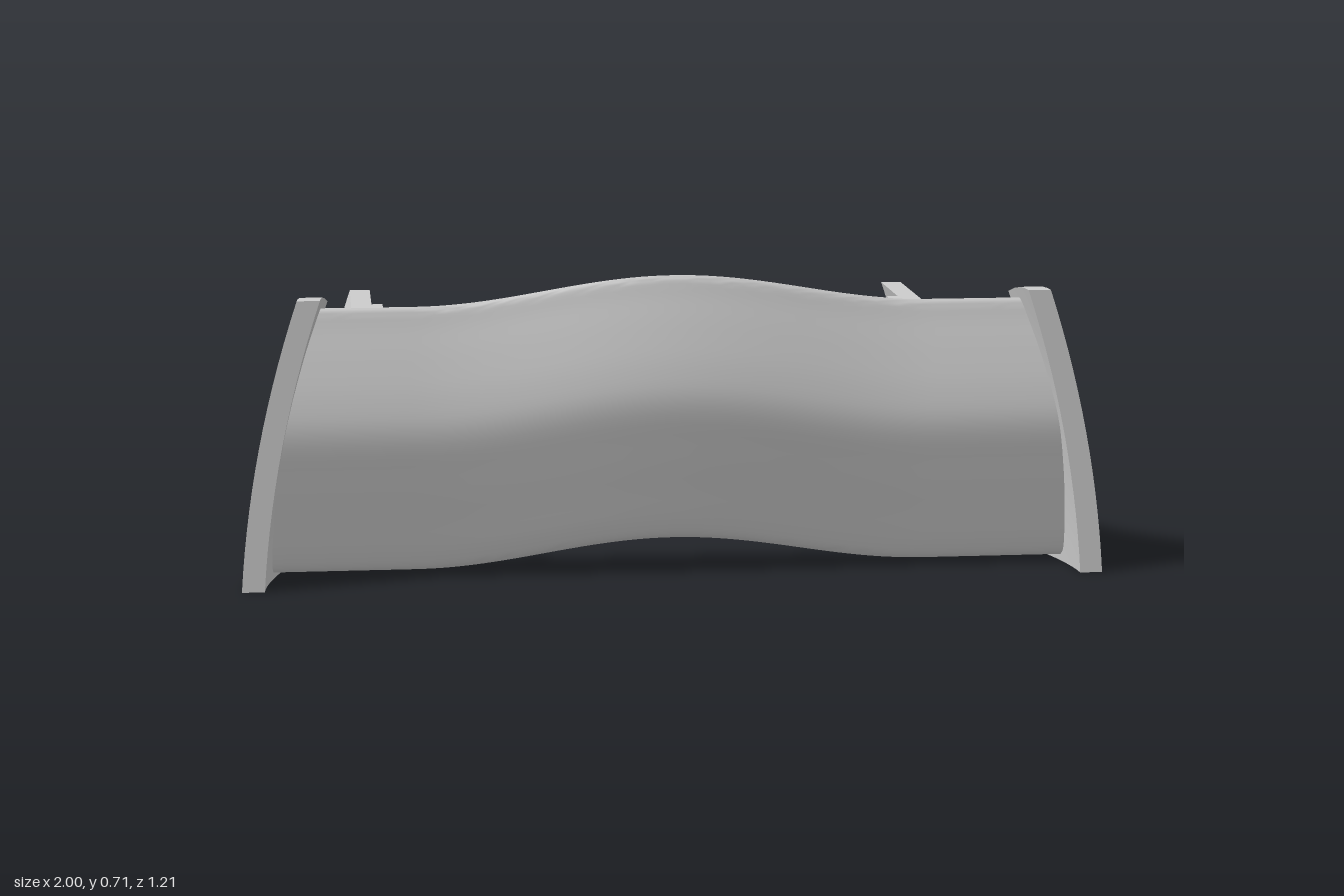
import * as THREE from 'three';
import { toCreasedNormals } from 'three/addons/utils/BufferGeometryUtils.js';

const THICK = 0.052;

// Outer face of the +x side wall: flared towards the front, bowing inwards with height
function outerX(y, z) {
  const flare = Math.pow(THREE.MathUtils.smoothstep(z, -0.3, 0.62), 1.8);
  const lean = (0.07 * y + 0.2 * y * y) * (1.24 - 0.24 * flare);
  return 0.842 + 0.158 * flare - lean;
}

// Closed skin through equal-length loops of Vector3, capped by pairing the two halves of each end loop
function loft(loops, mirrored) {
  const n = loops[0].length, pos = [], idx = [];
  loops.forEach(l => l.forEach(p => pos.push(p.x, p.y, p.z)));
  const tri = (a, b, c) => (mirrored ? idx.push(a, b, c) : idx.push(a, c, b));
  const quad = (a, b, c, d) => { tri(a, b, c); tri(a, c, d); };
  for (let i = 0; i < loops.length - 1; i++) {
    for (let j = 0; j < n; j++) {
      const k = (j + 1) % n;
      quad(i * n + j, i * n + k, (i + 1) * n + k, (i + 1) * n + j);
    }
  }
  const last = (loops.length - 1) * n;
  for (let j = 0; j < n / 2 - 1; j++) {
    const a = j, b = j + 1, c = n - 2 - j, d = n - 1 - j;
    quad(a, d, c, b);
    quad(last + a, last + b, last + c, last + d);
  }
  const geo = new THREE.BufferGeometry();
  geo.setAttribute('position', new THREE.Float32BufferAttribute(pos, 3));
  geo.setIndex(idx);
  return toCreasedNormals(geo, 0.6);
}

// Slab following the side wall; stations are (z, top height), insets measured inwards from the outer face
function wallSlab(stations, near, far, side) {
  const rows = 14;
  const loops = stations.map(({ x: z, y: top }) => {
    const outer = [], inner = [];
    for (let r = 0; r <= rows; r++) {
      const y = (top * r) / rows, x = outerX(y, z);
      outer.push(new THREE.Vector3(side * (x - near), y, z));
      inner.unshift(new THREE.Vector3(side * (x - far), y, z));
    }
    return [...outer, ...inner];
  });
  return loft(loops, side < 0);
}

const v = (a, b) => new THREE.Vector2(a, b);

// Top edge of the side wall from front to back
function wallStations() {
  const dip = new THREE.SplineCurve([
    v(0.465, 0.648), v(0.463, 0.59), v(0.445, 0.525), v(0.4, 0.468), v(0.3, 0.382), v(0.2, 0.331),
    v(0.1, 0.308), v(0, 0.299), v(-0.1, 0.296), v(-0.19, 0.307), v(-0.235, 0.335), v(-0.253, 0.385),
    v(-0.256, 0.43),
  ]).getPoints(72);
  const front = [v(0.604, 0.67), v(0.575, 0.67), v(0.545, 0.669), v(0.505, 0.661)];
  const back = [];
  for (let i = 0; i <= 6; i++) back.push(v(-0.257 - (0.347 * i) / 6, 0.514));
  return [...front, ...dip, ...back];
}

// Front panel: bulging front, gently sloping back, swept across and rising in the middle
function frontPanel() {
  const face = new THREE.SplineCurve([
    v(0.478, 0.016), v(0.498, 0.04), v(0.525, 0.14), v(0.553, 0.25), v(0.575, 0.35),
    v(0.57, 0.43), v(0.551, 0.52), v(0.533, 0.59), v(0.524, 0.628), v(0.517, 0.639),
  ]).getPoints(36);
  const rear = new THREE.SplineCurve([
    v(0.462, 0.018), v(0.441, 0.045), v(0.449, 0.13), v(0.463, 0.24), v(0.473, 0.34),
    v(0.48, 0.43), v(0.486, 0.52), v(0.492, 0.59), v(0.502, 0.627), v(0.511, 0.639),
  ]).getPoints(36);
  const section = [...face, ...rear.reverse()];
  const loops = [];
  for (let i = 0; i <= 64; i++) {
    const u = (i / 32) - 1;
    loops.push(section.map(s => {
      const x = u * (outerX(s.y, s.x) - 0.03);
      const bump = Math.abs(x) < 0.6 ? Math.cos((x / 0.6) * Math.PI / 2) ** 2 : 0;
      return new THREE.Vector3(x, s.y + 0.068 * bump, s.x + 0.025 * bump);
    }));
  }
  return loft(loops, false);
}

export function createModel() {
  const group = new THREE.Group();
  const material = new THREE.MeshStandardMaterial({ color: 0xcccccc });
  const add = (name, geo) => {
    const mesh = new THREE.Mesh(geo, material);
    mesh.name = name;
    group.add(mesh);
  };

  add('frontPanel', frontPanel());

  // Side walls with an upright rib on the inner face
  const ribStations = [v(-0.258, 0.514), v(-0.305, 0.514), v(-0.355, 0.514)];
  for (const [label, side] of [['left', 1], ['right', -1]]) {
    add(label + 'SideWall', wallSlab(wallStations(), 0, THICK, side));
    add(label + 'InnerRib', wallSlab(ribStations, THICK - 0.01, THICK + 0.028, side));
  }
  return group;
}
